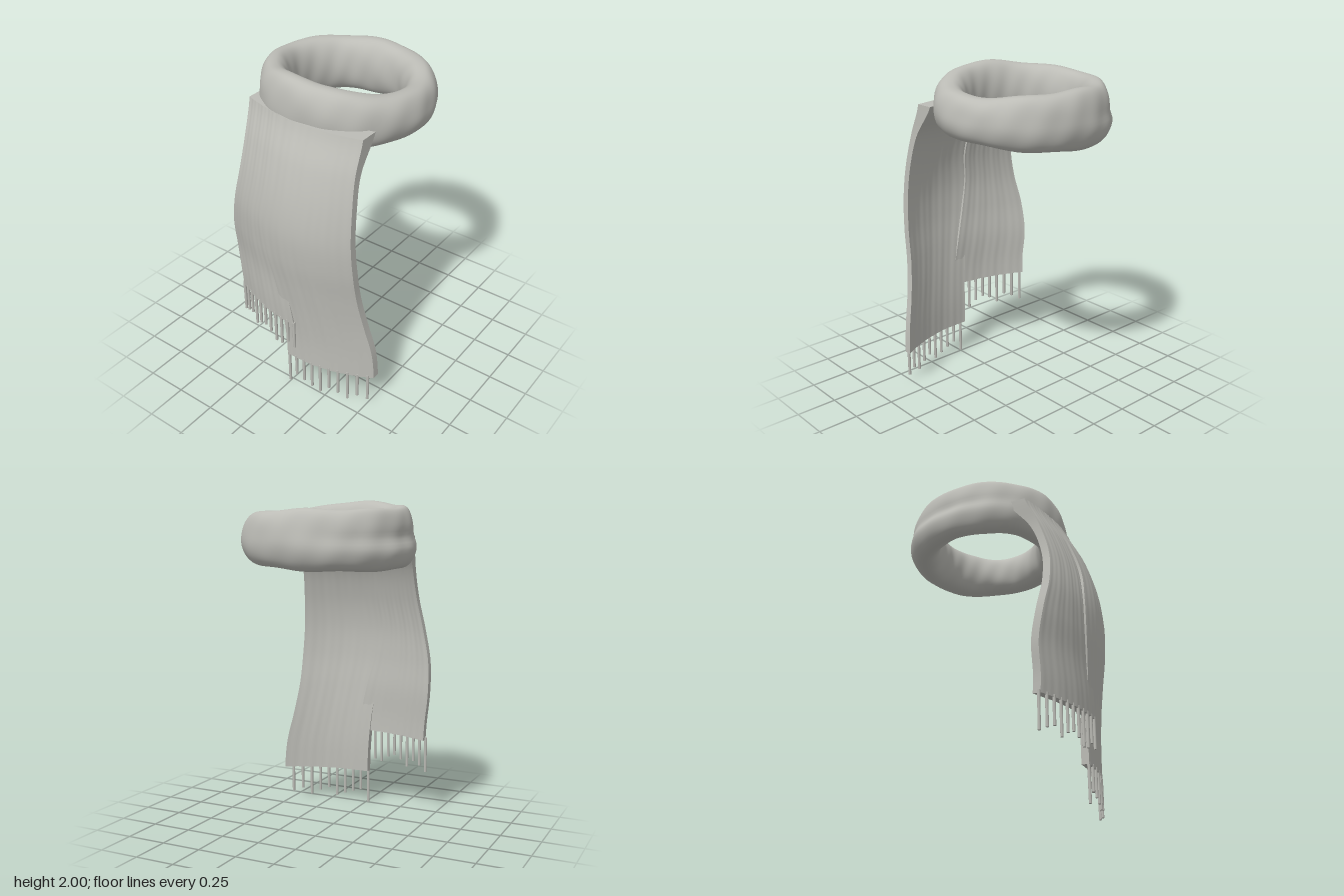
import * as THREE from 'three';
import { mergeVertices } from 'three/addons/utils/BufferGeometryUtils.js';

const wool = new THREE.MeshStandardMaterial({ color: 0xbcbcb6 });
wool.name = 'grey wool';

// Catmull-Rom interpolation through four neighbours
function cubic(a, b, c, d, t) {
  return b + 0.5 * t * (c - a + t * (2 * a - 5 * b + 4 * c - d + t * (3 * (b - c) + d - a)));
}
// value at height y from samples at y = 0.2, 0.4 ... 1.8
function atHeight(list, y) {
  const f = THREE.MathUtils.clamp((y - 0.2) / 0.2, 0, list.length - 1);
  const i = Math.min(Math.floor(f), list.length - 2);
  const g = (k) => list[THREE.MathUtils.clamp(k, 0, list.length - 1)];
  return cubic(g(i - 1), g(i), g(i + 1), g(i + 2), f - i);
}
// value at angle a from eight samples around the ring
function around(list, a) {
  const n = list.length;
  const f = (((a / (2 * Math.PI)) % 1) + 1) % 1 * n;
  const i = Math.floor(f);
  const g = (k) => list[(k + n) % n];
  return cubic(g(i - 1), g(i), g(i + 1), g(i + 2), f - i);
}

function addMesh(parent, geometry, name) {
  const mesh = new THREE.Mesh(geometry, wool);
  mesh.name = name;
  parent.add(mesh);
  return mesh;
}

// Neck ring: samples start at +x and turn through the front (+z), -x and back
const RING = {
  outer: [0.52, 0.515, 0.492, 0.51, 0.52, 0.52, 0.495, 0.51],
  inner: [0.332, 0.318, 0.313, 0.318, 0.337, 0.317, 0.293, 0.312],
  top: [1.91, 1.955, 2.0, 1.975, 1.95, 1.935, 1.94, 1.925],
  bottom: [1.66, 1.645, 1.64, 1.63, 1.605, 1.6, 1.605, 1.63],
  fold: [0.006, 0, 0, 0.01, 0.03, 0.025, 0.012, 0.006],
};

function neckRing() {
  const geo = new THREE.PlaneGeometry(1, 1, 160, 48);
  const p = geo.attributes.position;
  for (let i = 0; i < p.count; i++) {
    const a = -(p.getX(i) + 0.5) * 2 * Math.PI;
    const t = (p.getY(i) + 0.5) * 2 * Math.PI;
    const [ro, ri, top, bottom, fold] = ['outer', 'inner', 'top', 'bottom', 'fold'].map((k) => around(RING[k], a));
    const c = Math.cos(t), s = Math.sin(t);
    const bulge = Math.sign(c) * Math.pow(Math.abs(c), 0.85);
    let r = (ro + ri) / 2 + bulge * (ro - ri) / 2;
    let y = (top + bottom) / 2 + s * (top - bottom) / 2;
    // crease between the two wraps, deepest at the model's right
    if (c > 0) {
      const crease = 0.6 * Math.exp(-((s / 0.25) ** 2)) * Math.max(0, -Math.cos(a));
      r -= fold * c * (0.5 * (1 + Math.tanh(s * 4)) + crease);
    }
    // slanting wrinkles
    r += (0.002 * Math.sin(17 * a + 2 * t) + 0.002 * Math.sin(7 * a - 3 * t)) * Math.abs(c);
    y += 0.004 * s * Math.sin(7 * a + 1);
    p.setXYZ(i, -0.02 + r * Math.cos(a), y, -0.1 + r * Math.sin(a));
  }
  geo.deleteAttribute('uv');
  geo.deleteAttribute('normal');
  const merged = mergeVertices(geo, 1e-5);
  merged.computeVertexNormals();
  return merged;
}

// Shared drape of the hanging ends, sampled every 0.2 up from y = 0.2
const FRONT = [0.522, 0.525, 0.54, 0.562, 0.585, 0.588, 0.555, 0.49, 0.395];
const THICK = [0.045, 0.045, 0.045, 0.045, 0.045, 0.045, 0.045, 0.055, 0.115];

// bow: how far the sides curl back; shift: layering of one end over the other
const ENDS = [
  {
    name: 'rightEnd', bottom: 0.5,
    low: [-0.45, -0.45, -0.455, -0.475, -0.465, -0.42, -0.38, -0.375, -0.4],
    high: [0.06, 0.06, 0.04, 0, -0.05, -0.08, -0.06, -0.07, -0.1],
    bow: [0.52, 0.52, 0.5, 0.48, 0.46, 0.46, 0.46, 0.46, 0.4],
    shift: [0.012, 0.012, 0.006, -0.012, -0.018, -0.018, -0.018, -0.014, -0.004],
    tassels: [-0.455, 0.05], tips: [0.29, 0.32, 0.34, 0.29, 0.33, 0.35, 0.33, 0.29, 0.3, 0.34, 0.32],
  },
  {
    name: 'leftEnd', bottom: 0.22,
    low: [-0.02, -0.025, -0.04, -0.07, -0.11, -0.12, -0.09, -0.1, -0.13],
    high: [0.535, 0.52, 0.48, 0.45, 0.44, 0.43, 0.42, 0.405, 0.4],
    bow: [0.58, 0.6, 0.66, 0.7, 0.7, 0.7, 0.66, 0.58, 0.45],
    shift: [0, 0, 0, 0, 0, 0, 0, 0, 0],
    tassels: [-0.01, 0.5], tips: [0.0, 0.08, 0.06, 0.04, 0.02, 0.07, 0.05, 0.02, 0.06, 0.04],
  },
];

const frontZ = (end, x, y) => atHeight(FRONT, y) + atHeight(end.shift, y) - atHeight(end.bow, y) * (x - 0.05) ** 2;

// Hanging end: a fine slab bent to the drape, with soft vertical ribs
function hangingEnd(end) {
  const geo = new THREE.BoxGeometry(1, 1, 1, 48, 48, 1);
  const p = geo.attributes.position;
  for (let i = 0; i < p.count; i++) {
    const u = p.getX(i) + 0.5;
    const y = THREE.MathUtils.lerp(end.bottom, 1.79, p.getY(i) + 0.5);
    const x = THREE.MathUtils.lerp(atHeight(end.low, y), atHeight(end.high, y), u);
    const rib = 0.0008 * Math.sin(u * 60) + 0.001 * Math.sin(u * 23 + y * 2);
    const depth = (0.5 - p.getZ(i)) * atHeight(THICK, y);
    p.setXYZ(i, x, y, frontZ(end, x, y) + rib - depth);
  }
  geo.computeVertexNormals();
  return geo;
}

export function createModel() {
  const group = new THREE.Group();
  group.name = 'scarf';
  addMesh(group, neckRing(), 'neckRing');

  for (const end of ENDS) {
    addMesh(group, hangingEnd(end), end.name);

    // Fringe of thin strands along the hem
    const fringe = new THREE.Group();
    fringe.name = end.name + 'Fringe';
    end.tips.forEach((tip, i) => {
      const x = THREE.MathUtils.lerp(...end.tassels, i / (end.tips.length - 1));
      const top = end.bottom + 0.015;
      const z = frontZ(end, x, end.bottom) - 0.006;
      const strand = addMesh(fringe, new THREE.CylinderGeometry(0.01, 0.009, top - tip, 8), 'strand');
      strand.position.set(x, (top + tip) / 2, z);
    });
    group.add(fringe);
  }
  return group;
}
